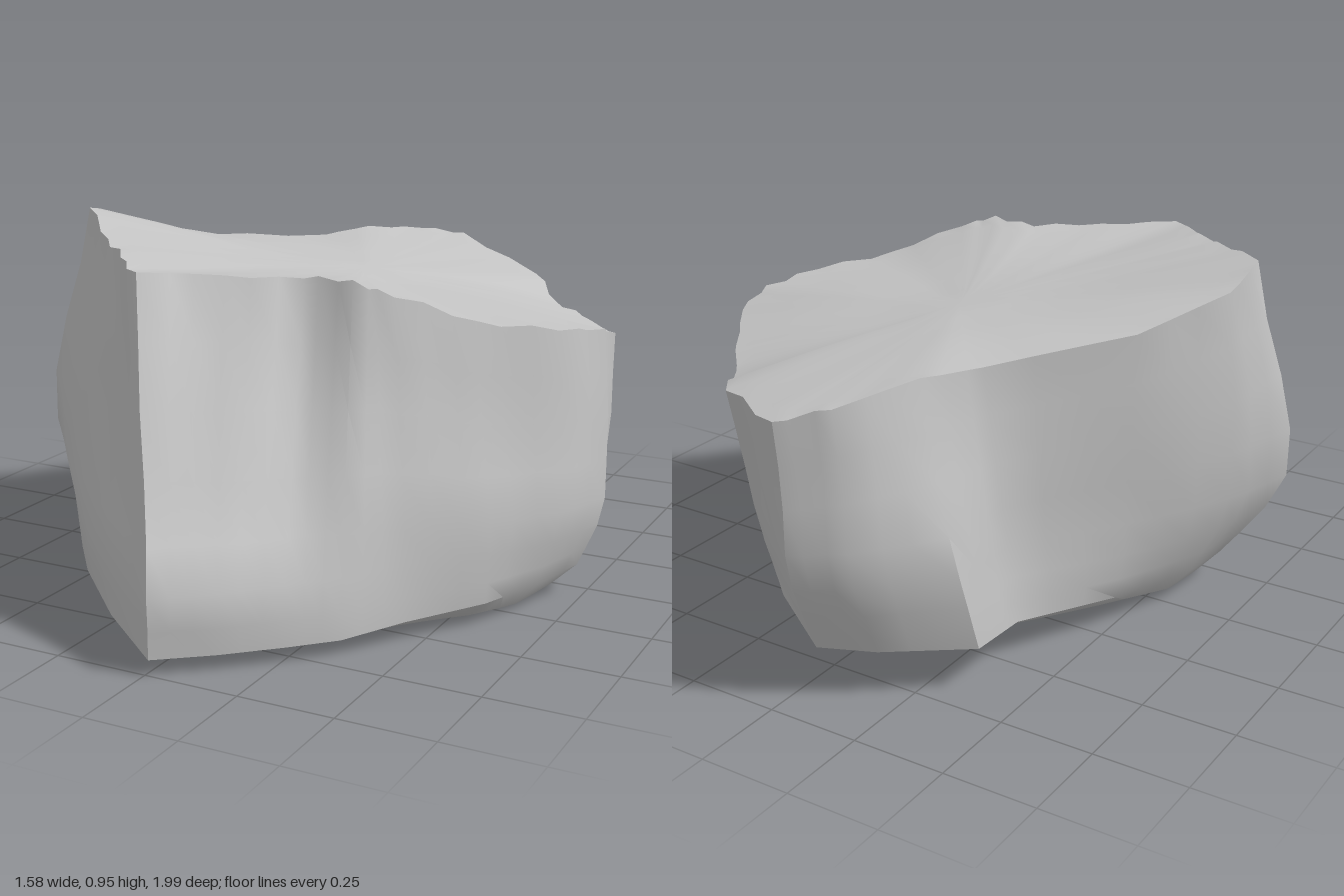
import * as THREE from 'three';
import { toCreasedNormals } from 'three/addons/utils/BufferGeometryUtils.js';

// Vertical edges of the boulder, counterclockwise from the front corner:
// rim x, y, z, then foot x, y, z, then outward bulge of the wall between them
const COLUMNS = [
  [-0.24, 0.88, 0.63, 0.01, 0.04, 1, 0],
  [-0.05, 0.87, 0.52, 0.14, 0.04, 0.9, 0],
  [0.12, 0.86, 0.42, 0.26, 0.04, 0.79, 0],
  [0.26, 0.87, 0.43, 0.36, 0.04, 0.69, 0],
  [0.36, 0.83, 0.4, 0.46, 0.05, 0.54, 0],
  [0.52, 0.76, 0.26, 0.6, 0.06, 0.36, 0.02],
  [0.68, 0.72, 0.1, 0.68, 0.07, 0.2, 0.05],
  [0.75, 0.7, -0.06, 0.73, 0.08, 0.04, 0.06],
  [0.74, 0.66, -0.18, 0.66, 0.08, -0.15, 0.03],
  [0.57, 0.65, -0.41, 0.5, 0.1, -0.38, 0],
  [0.44, 0.65, -0.56, 0.36, 0.11, -0.55, 0],
  [0.3, 0.69, -0.76, 0.2, 0.12, -0.7, 0.01],
  [-0.04, 0.76, -0.99, -0.05, 0.13, -0.88, 0.04],
  [-0.14, 0.78, -0.9, -0.19, 0.13, -0.82, 0.04],
  [-0.24, 0.81, -0.69, -0.38, 0.12, -0.66, 0.05],
  [-0.31, 0.8, -0.53, -0.38, 0.11, -0.48, 0.01],
  [-0.55, 0.83, -0.2, -0.51, 0.09, -0.2, 0.01],
  [-0.69, 0.9, 0.03, -0.61, 0.09, 0.04, 0.08],
  [-0.7, 0.95, 0.17, -0.62, 0.08, 0.21, 0.16],
  [-0.48, 0.91, 0.4, -0.43, 0.06, 0.62, 0.03],
  [-0.36, 0.89, 0.52, -0.21, 0.05, 0.83, 0.01],
];
const STEPS = 3;
const LEVELS = [0, 0.18, 0.36, 0.54, 0.7, 0.82, 0.92, 1];
const CROWN = [0.02, 0.794, -0.13];
const BELLY = [0.04, 0.025, 0.06];

// Smooth repeatable unevenness
const rough = (x, y, z) =>
  Math.sin(x * 9 + z * 5 + 1) * Math.sin(y * 8 - z * 7 + 2) * Math.cos(x * 4 - y * 6);
const mix = (a, b, t) => a.map((v, i) => v + (b[i] - v) * t);

function createBoulder() {
  // Finer columns with a ragged rim
  const columns = [];
  COLUMNS.forEach((c, i) => {
    const next = COLUMNS[(i + 1) % COLUMNS.length];
    for (let s = 0; s < STEPS; s++) {
      const m = mix(c, next, s / STEPS);
      if (s) {
        m[0] += 0.009 * Math.sin(i * 4.1 + s * 2.3);
        m[1] += 0.007 * Math.sin(i * 2.7 + s * 3.1);
        m[2] += 0.009 * Math.cos(i * 3.3 + s * 1.9);
      }
      columns.push(m);
    }
  });

  const rings = [];
  // Top: a tilted plane that eases into the ragged rim
  for (const k of [0.2, 0.4, 0.6, 0.78, 0.92]) {
    rings.push(columns.map((c) => {
      const [x, , z] = mix(CROWN, c.slice(0, 3), k);
      const plane = 0.8 - 0.165 * x + 0.07 * z + 0.008 * rough(x, 0.3, z);
      const rim = c[1] + 0.165 * (c[0] - x) - 0.07 * (c[2] - z);
      return [x, plane + (rim - plane) * k ** 2, z];
    }));
  }
  // Walls: bulging, with the front leaning out to a short upright toe
  for (const t of LEVELS) {
    rings.push(columns.map((c) => {
      const p = mix(c.slice(0, 3), c.slice(3, 6), t);
      const lean = Math.min(1, t * (1 + 0.22 * Math.max(0, c[5])));
      const x = c[0] + (c[3] - c[0]) * lean;
      const z = c[2] + (c[5] - c[2]) * lean;
      const swell = Math.sin(Math.PI * Math.pow(t, 1.45));
      const out = (c[6] + 0.018 * rough(...p)) * swell / Math.hypot(x, z);
      return [x * (1 + out), p[1], z * (1 + out)];
    }));
  }
  // Underside: lowest just ahead of the middle, rising to the back
  for (const k of [0.9, 0.6, 0.3]) {
    rings.push(columns.map((c) => {
      const [x, , z] = mix(BELLY, c.slice(3, 6), k);
      const rise = z > 0.2 ? 0.03 * (z - 0.2) : 0.11 * (0.2 - z) ** 1.2;
      return [x, Math.max(0, rise + 0.006 + 0.008 * rough(x, 0.5, z)), z];
    }));
  }

  const n = columns.length;
  const crown = rings.length * n;
  const last = (rings.length - 1) * n;
  const index = [];
  for (let j = 0; j < n; j++) {
    const k = (j + 1) % n;
    index.push(crown, j, k, crown + 1, last + k, last + j);
    for (let r = 0; r < last; r += n) {
      index.push(r + j, r + n + j, r + n + k, r + j, r + n + k, r + k);
    }
  }
  const geometry = new THREE.BufferGeometry();
  const points = [...rings.flat(), CROWN, BELLY].flat();
  geometry.setAttribute('position', new THREE.Float32BufferAttribute(points, 3));
  geometry.setIndex(index);
  return toCreasedNormals(geometry, 0.7);
}

export function createModel() {
  const group = new THREE.Group();
  group.name = 'rock';
  const stone = new THREE.MeshStandardMaterial({ color: 0xc4c4c4 });
  stone.name = 'grey stone';
  const boulder = new THREE.Mesh(createBoulder(), stone);
  boulder.name = 'boulder';
  group.add(boulder);
  return group;
}
